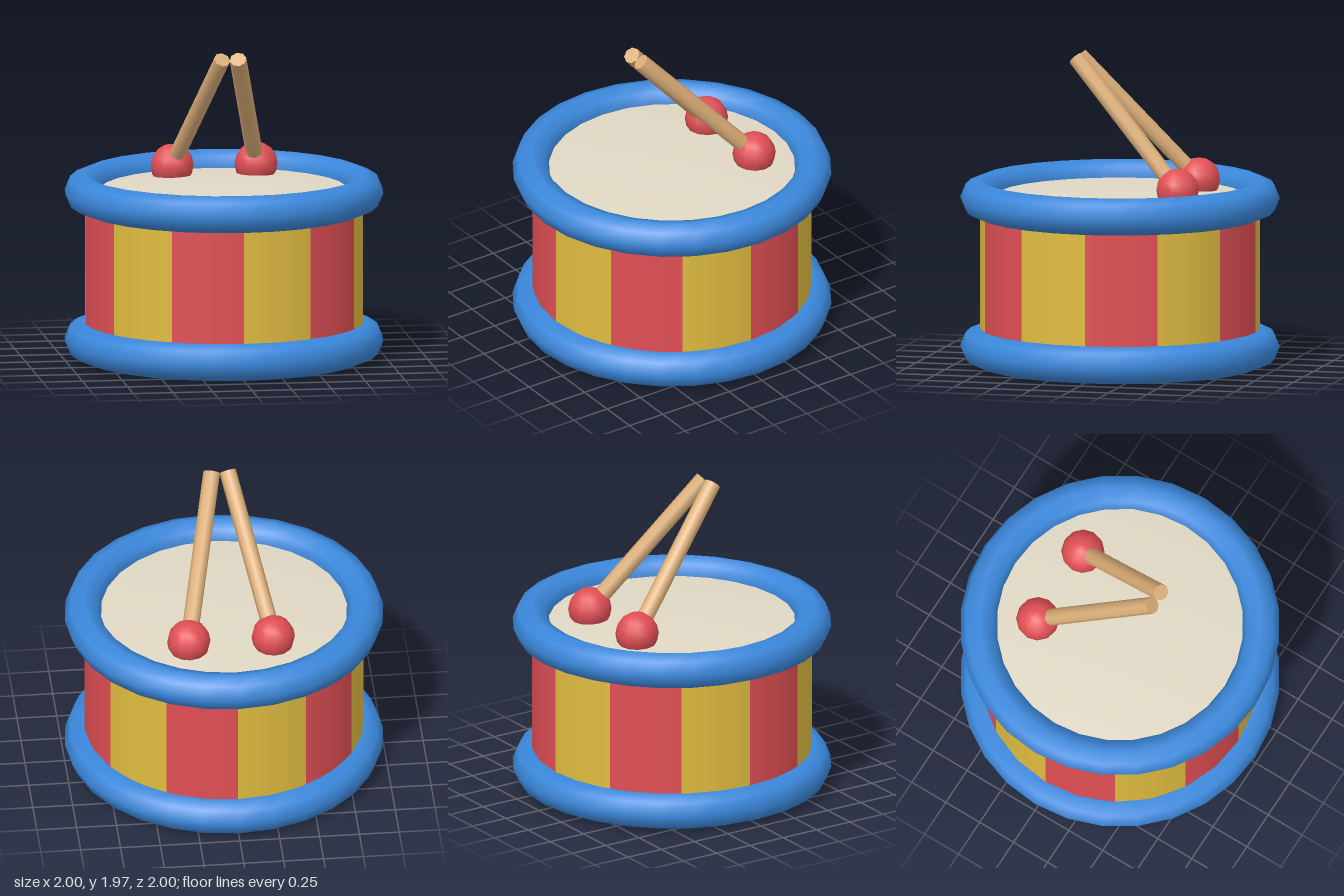
import * as THREE from 'three';

function material(name, color) {
  const m = new THREE.MeshStandardMaterial({ color });
  m.name = name;
  return m;
}

export function createModel() {
  const blue = material('blue', 0x3b88dc);
  const red = material('red', 0xe04f55);
  const yellow = material('yellow', 0xe0bc40);
  const skinColour = material('cream', 0xe0d8c4);
  const wood = material('wood', 0xdcae78);

  const model = new THREE.Group();
  model.name = 'toyDrum';
  const add = (name, geometry, mat, x = 0, y = 0, z = 0) => {
    const mesh = new THREE.Mesh(geometry, mat);
    mesh.name = name;
    mesh.position.set(x, y, z);
    model.add(mesh);
    return mesh;
  };

  // Shell: twelve alternating stripes around the drum, closed underneath
  const bottom = 0.1, top = 1.06, radius = 0.875;
  const step = Math.PI / 6;
  for (let i = 0; i < 12; i++) {
    const stripe = new THREE.CylinderGeometry(radius, radius, top - bottom, 2, 1, true, i * step, step);
    add('shellStripe' + (i + 1), stripe, i % 2 ? red : yellow, 0, (top + bottom) / 2);
  }
  add('shellBase', new THREE.CircleGeometry(radius, 24).rotateX(Math.PI / 2), yellow, 0, bottom);

  // Rounded hoops at the bottom and top
  const hoop = new THREE.TorusGeometry(0.882, 0.117, 8, 28).rotateX(Math.PI / 2);
  add('bottomHoop', hoop, blue, 0, 0.118);
  add('topHoop', hoop, blue, 0, 1.055);

  // Slightly domed drum skin
  const profile = [];
  for (let i = 0; i <= 6; i++) {
    const r = 0.87 * (1 - i / 6);
    profile.push(new THREE.Vector2(r, 1.1 - 0.05 * r * r));
  }
  add('drumSkin', new THREE.LatheGeometry(profile, 28), skinColour);

  // Pair of drumsticks, leaning together at the handles
  for (const side of [1, -1]) {
    const label = side > 0 ? 'left' : 'right';
    const head = new THREE.Vector3(side * 0.265, 1.15, -0.44);
    const handle = new THREE.Vector3(side * 0.05, 1.933, 0.27);
    const axis = handle.clone().sub(head);
    add(label + 'StickHead', new THREE.SphereGeometry(0.136, 12, 8), red, head.x, head.y, head.z);

    const mid = head.clone().add(handle).multiplyScalar(0.5);
    const stick = add(label + 'Stick', new THREE.CylinderGeometry(0.053, 0.053, axis.length(), 8), wood, mid.x, mid.y, mid.z);
    stick.quaternion.setFromUnitVectors(new THREE.Vector3(0, 1, 0), axis.normalize());
  }

  return model;
}
